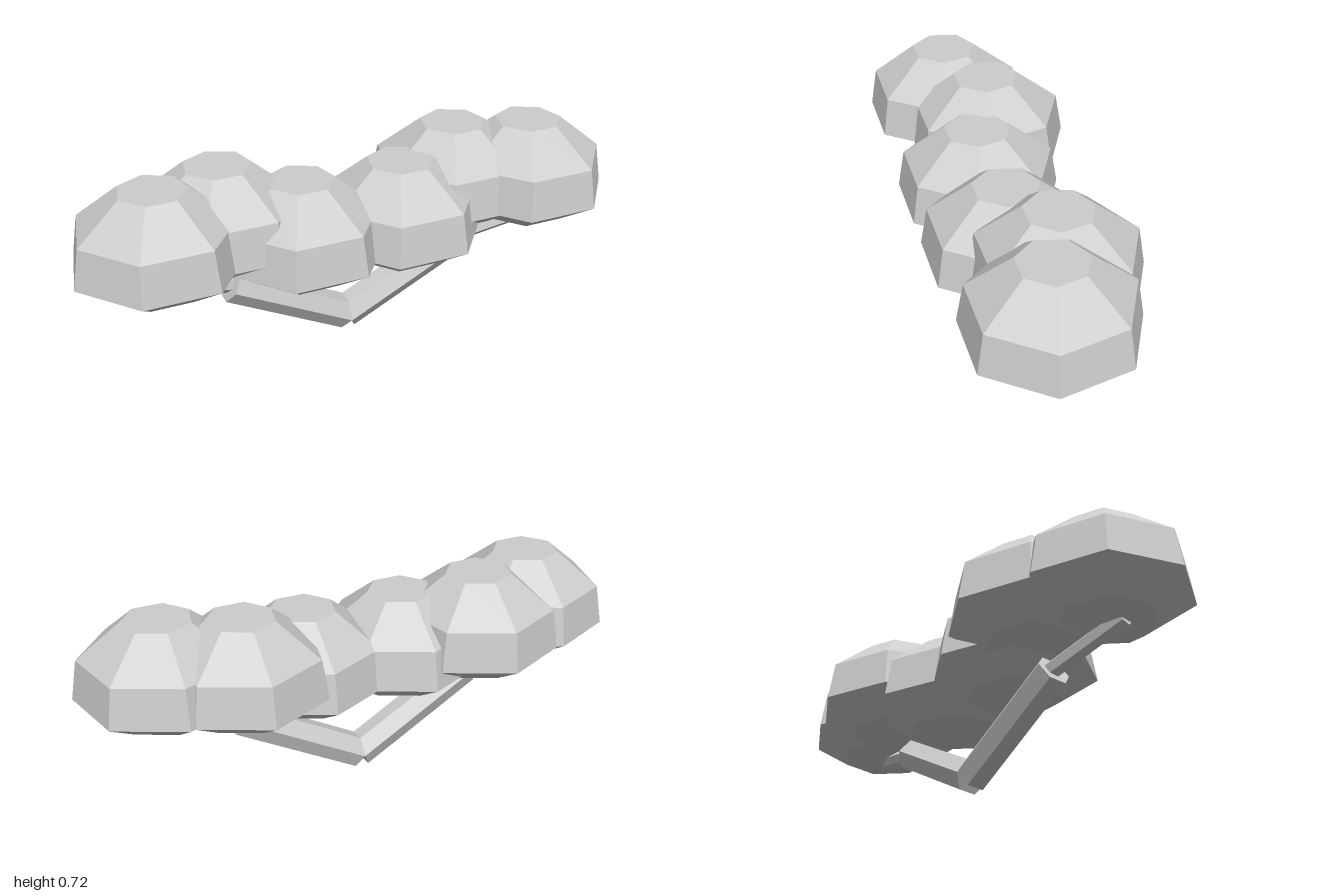
import * as THREE from 'three';

export function createModel() {
  const model = new THREE.Group();
  model.name = 'twinBranchedCluster';
  const grey = new THREE.MeshStandardMaterial({ color: 0xcccccc, flatShading: true });
  grey.name = 'pale grey';

  // Seven-sided canopy: flat base, flared skirt, steep band, sloped roof, flat top
  const profile = [[0, 0], [0.171, 0], [0.302, 0.083], [0.277, 0.227], [0.121, 0.352], [0, 0.352]]
    .map(([r, y]) => new THREE.Vector2(r, y));
  const canopyGeometry = new THREE.LatheGeometry(profile, 7, Math.PI);

  function addCanopy(name, x, y, z) {
    const mesh = new THREE.Mesh(canopyGeometry, grey);
    mesh.name = name;
    mesh.position.set(x, y, z);
    model.add(mesh);
  }

  // Six-sided straight branch between two points; one corner points along 'hint'
  function addBranch(name, from, to, radius, hint) {
    const axis = to.clone().sub(from);
    const length = axis.length();
    axis.normalize();
    const corner = hint.clone().addScaledVector(axis, -hint.dot(axis)).normalize();
    const side = axis.clone().cross(corner);
    const mesh = new THREE.Mesh(new THREE.CylinderGeometry(radius, radius, length, 6), grey);
    mesh.name = name;
    mesh.quaternion.setFromRotationMatrix(new THREE.Matrix4().makeBasis(side, axis, corner));
    mesh.position.copy(from).add(to).multiplyScalar(0.5);
    model.add(mesh);
  }

  for (const [label, s] of [['left', 1], ['right', -1]]) {
    const v = (x, y, z) => new THREE.Vector3(s * x, y, z);

    // Canopies
    addCanopy(label + 'InnerCanopy', s * 0.19, 0.3, 0.065);
    addCanopy(label + 'BackCanopy', s * 0.45, 0.362, -0.035);
    addCanopy(label + 'OuterCanopy', s * 0.705, 0.366, 0.065);

    // Thick lower branch and thin upper branch
    addBranch(label + 'LowerBranch', v(0, 0.052, 0.016), v(0.45, 0.291, 0.041), 0.063, v(0, 0.104, -0.995));
    addBranch(label + 'UpperBranch', v(0.44, 0.288, 0.033), v(0.745, 0.378, 0.105), 0.032, v(0.14, 0.28, -0.95));
  }
  return model;
}
